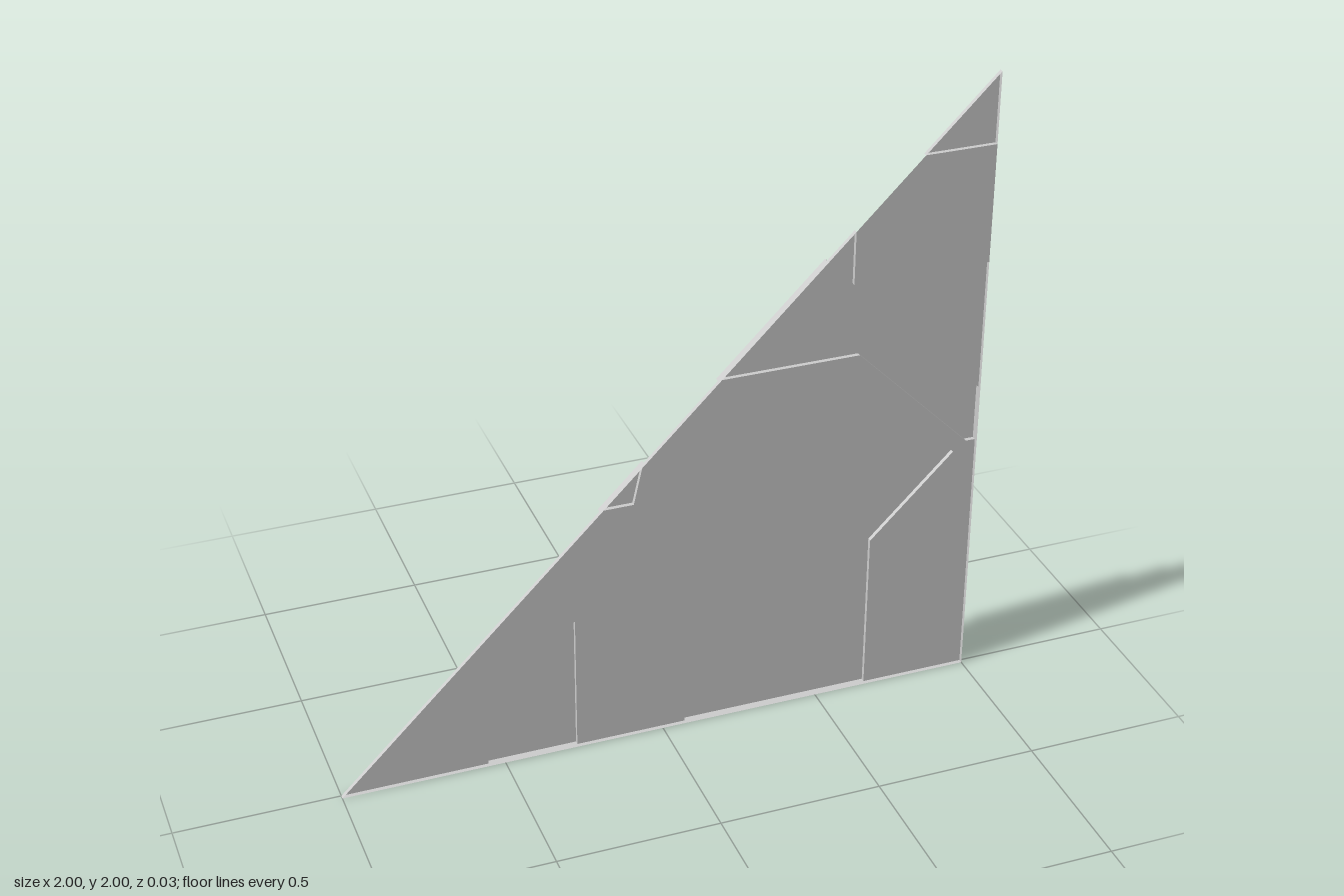
import * as THREE from 'three';

const STEP = 0.0133; // depth of one relief level

export function createModel() {
  const grey = new THREE.MeshStandardMaterial({ color: 0xcccccc, side: THREE.DoubleSide });
  grey.name = 'grey';
  const model = new THREE.Group();
  model.name = 'triangularReliefPanel';

  const add = (name, geometry) => {
    const mesh = new THREE.Mesh(geometry, grey);
    mesh.name = name;
    model.add(mesh);
  };

  // Flat sheet with the given outline at depth z
  const sheet = (name, outline, z) => {
    const shape = new THREE.Shape(outline.map(([x, y]) => new THREE.Vector2(x, y)));
    add(name, new THREE.ShapeGeometry(shape).translate(0, 0, z));
  };

  // Thin walls around an outline; its corners run counter-clockwise
  const walls = (name, outline, back, front) => {
    const pos = [];
    outline.forEach(([ax, ay], i) => {
      const [bx, by] = outline[(i + 1) % outline.length];
      pos.push(ax, ay, back, bx, by, back, bx, by, front);
      pos.push(ax, ay, back, bx, by, front, ax, ay, front);
    });
    const geometry = new THREE.BufferGeometry();
    geometry.setAttribute('position', new THREE.Float32BufferAttribute(pos, 3));
    geometry.computeVertexNormals();
    add(name, geometry);
  };

  // Deep recesses, one level behind the main field
  const deep = {
    smallWindow: [[-0.55, 0], [-0.27, 0], [-0.27, 0.445], [-0.31, 0.445], [-0.55, 0.205]],
    largeWindow: [[0.075, 0], [0.67, 0], [0.67, 0.52], [0.93, 0.78], [0.64, 1.07], [0.075, 0.505]],
    edgeNotch: [[-0.19, 0.81], [-0.085, 0.81], [-0.055, 0.945]],
    diagonalBand: [[0.17, 1.17], [0.61, 1.17], [0.97, 0.81], [1, 0.81], [1, 0.99], [0.495, 1.495]],
  };
  for (const [name, outline] of Object.entries(deep)) {
    sheet(name + 'Floor', outline, -STEP);
    walls(name + 'Walls', outline, -STEP, 0);
  }

  // Main field, cut around the deep recesses
  sheet('mainField', [
    [-1, 0], [-0.55, 0], [-0.55, 0.205], [-0.31, 0.445], [-0.27, 0.445], [-0.27, 0],
    [0.075, 0], [0.075, 0.505], [0.64, 1.07], [0.93, 0.78], [0.67, 0.52], [0.67, 0],
    [1, 0], [1, 0.81], [0.97, 0.81], [0.61, 1.17], [0.17, 1.17],
    [-0.055, 0.945], [-0.085, 0.81], [-0.19, 0.81],
  ], 0);
  sheet('upperField', [[0.495, 1.495], [1, 0.99], [1, 1.41], [0.577, 1.41], [0.577, 1.577]], 0);
  walls('fieldRim', [[-1, 0], [1, 0], [1, 1.41], [0.577, 1.41], [0.577, 1.577]], 0, STEP);

  // Tip of the panel
  const tip = [[0.78, 1.78], [1, 1.78], [1, 2]];
  sheet('tipFloor', tip, 0);
  walls('tipRim', tip, 0, STEP);

  // Foremost plate, without depth of its own
  sheet('frontPlate', [[0.577, 1.41], [1, 1.41], [1, 1.78], [0.78, 1.78], [0.577, 1.577]], STEP);

  return model;
}
